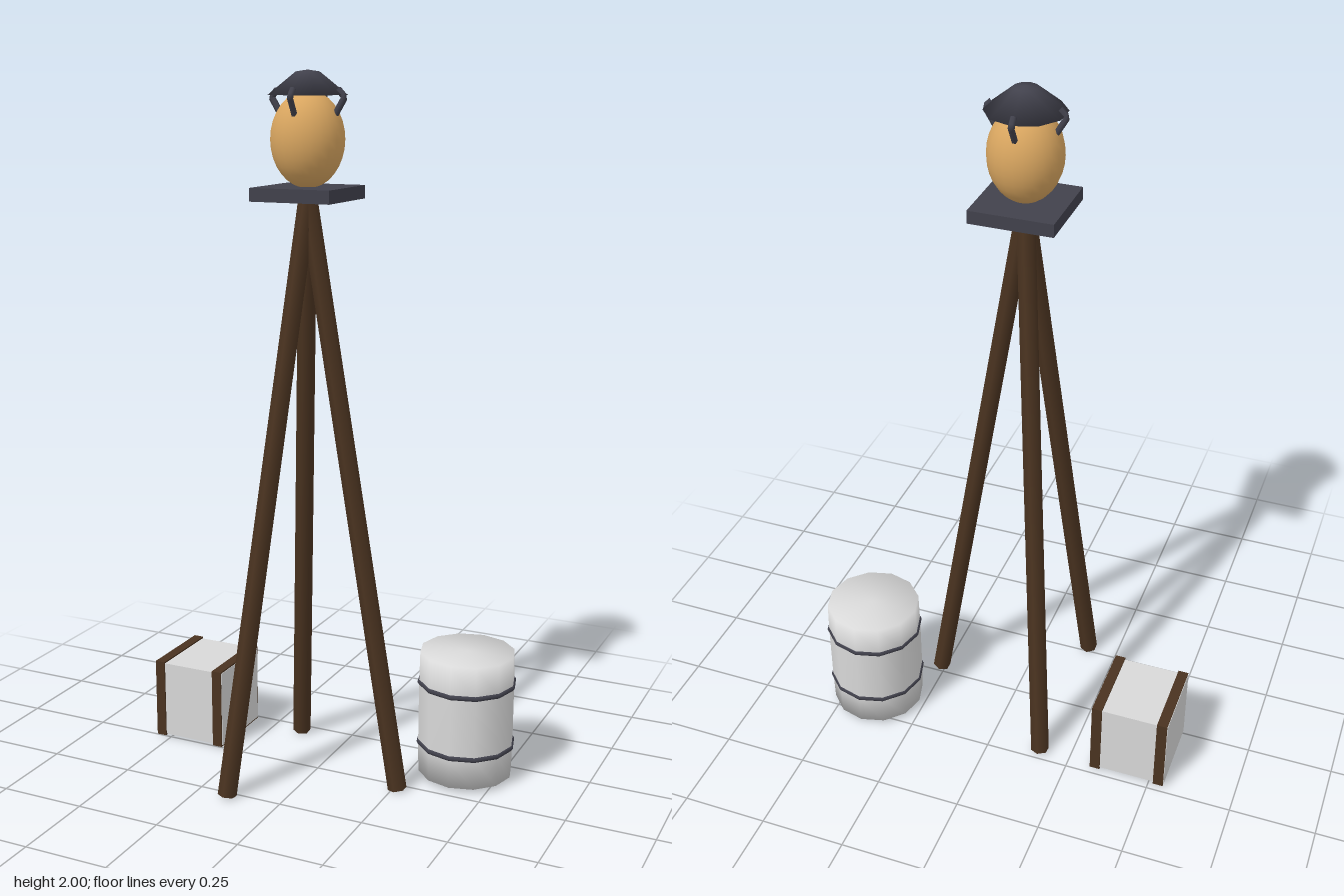
import * as THREE from 'three';

const material = (name, color) => {
  const m = new THREE.MeshStandardMaterial({ color });
  m.name = name;
  return m;
};

export function createModel() {
  const wood = material('dark wood', 0x4a3320);
  const iron = material('dark iron', 0x41414c);
  const glow = material('amber glow', 0xd9a660);
  const pale = material('pale grey', 0xd8d8d8);

  const model = new THREE.Group();
  model.name = 'tripodLampWithStores';

  const add = (parent, name, geometry, mat, x = 0, y = 0, z = 0) => {
    const mesh = new THREE.Mesh(geometry, mat);
    mesh.name = name;
    mesh.position.set(x, y, z);
    parent.add(mesh);
    return mesh;
  };
  const group = (name, x, z) => {
    const g = new THREE.Group();
    g.name = name;
    g.position.set(x, 0, z);
    model.add(g);
    return g;
  };
  const lathe = (points, sides) =>
    new THREE.LatheGeometry(points.map(([r, y]) => new THREE.Vector2(r, y)), sides);

  // Three six-sided legs meeting under the platform
  const lamp = group('tripodLamp', -0.016, 0.028);
  const spread = 0.28, footY = 0.005, topY = 1.67;
  const rise = topY - footY;
  for (let i = 0; i < 3; i++) {
    const pivot = new THREE.Group();
    pivot.name = 'leg';
    pivot.rotation.y = (i * Math.PI * 2) / 3;
    lamp.add(pivot);
    const leg = add(pivot, 'legPole',
      new THREE.CylinderGeometry(0.025, 0.027, Math.hypot(spread, rise), 6),
      wood, spread / 2, (footY + topY) / 2, 0);
    leg.rotation.z = Math.atan2(spread, rise);
  }

  // Platform, glowing globe and cap
  add(lamp, 'platform', new THREE.BoxGeometry(0.232, 0.036, 0.232), iron, 0, 1.679, 0);
  add(lamp, 'globe', new THREE.SphereGeometry(0.1, 24, 16), glow, 0, 1.82, 0).scale.y = 1.28;
  add(lamp, 'cap',
    lathe([[0, 1.935], [0.107, 1.935], [0.032, 1.995], [0, 2]], 10), iron);

  // Bent brackets between cap and globe
  const bend = new THREE.CurvePath();
  const knee = new THREE.Vector3(0.107, 1.93, 0);
  bend.add(new THREE.LineCurve3(new THREE.Vector3(0.088, 1.95, 0), knee));
  bend.add(new THREE.LineCurve3(knee, new THREE.Vector3(0.078, 1.882, 0)));
  const bracketGeometry = new THREE.TubeGeometry(bend, 8, 0.009, 6);
  for (let i = 0; i < 4; i++) {
    add(lamp, 'bracket', bracketGeometry, iron).rotation.y = (i * Math.PI) / 2;
  }

  // Twelve-sided barrel with two hoops
  const barrel = group('barrel', 0.401, -0.158);
  add(barrel, 'barrelBody', lathe([
    [0, 0.014], [0.137, 0.014], [0.139, 0.105], [0.139, 0.29], [0.137, 0.381], [0, 0.381],
  ], 12), pale);
  for (const y of [0.105, 0.29]) {
    const hoop = add(barrel, 'hoop', new THREE.TorusGeometry(0.136, 0.008, 6, 12), iron, 0, y, 0);
    hoop.rotation.x = Math.PI / 2;
  }

  // Crate with a wooden strap round each end
  const crate = group('crate', -0.432, -0.113);
  add(crate, 'crateBody', new THREE.BoxGeometry(0.228, 0.231, 0.231), pale, 0, 0.126, 0);
  for (const side of [-1, 1]) {
    add(crate, 'strap', new THREE.BoxGeometry(0.03, 0.24, 0.239), wood, side * 0.0975, 0.126, 0);
  }

  return model;
}
